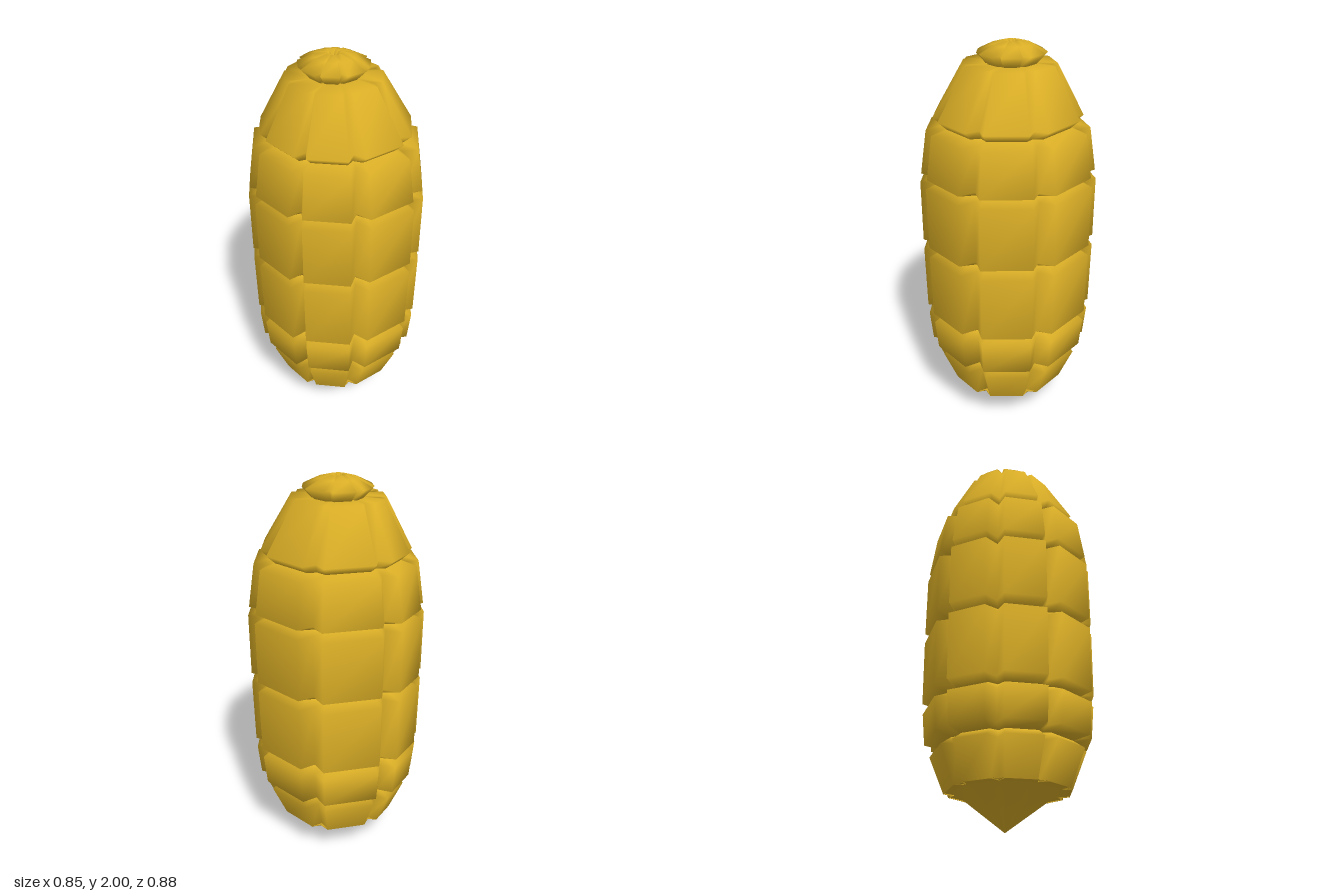
import * as THREE from 'three';

// Plan outline: per column a first corner, a second corner, then the notch before the next column.
const OUTLINE = [
  [-0.16, -0.41], [0.035, -0.44], [0.07, -0.37],
  [0.14, -0.41], [0.37, -0.24], [0.35, -0.16],
  [0.42, -0.13], [0.415, 0.15], [0.345, 0.18],
  [0.365, 0.25], [0.175, 0.41], [0.105, 0.365],
  [0.07, 0.44], [-0.175, 0.395], [-0.19, 0.32],
  [-0.26, 0.35], [-0.395, 0.17], [-0.355, 0.12],
  [-0.425, 0.105], [-0.41, -0.13], [-0.34, -0.15],
  [-0.38, -0.21], [-0.24, -0.365], [-0.17, -0.33],
];

// Lofts rings of [y, outer scale, notch scale, centre x, centre z], from bottom to top.
function loft(rings) {
  const n = OUTLINE.length;
  const positions = [];
  const index = [];
  for (const [y, outer, notch, cx = 0, cz = 0] of rings) {
    OUTLINE.forEach(([x, z], j) => {
      const s = j % 3 === 2 ? notch : outer;
      positions.push(cx + x * s, y, cz + z * s);
    });
  }
  for (let i = 0; i < rings.length - 1; i++) {
    for (let j = 0; j < n; j++) {
      const a = i * n + j, b = i * n + (j + 1) % n;
      const c = a + n, d = b + n;
      index.push(a, c, b, b, c, d);
    }
  }
  const geometry = new THREE.BufferGeometry();
  geometry.setAttribute('position', new THREE.Float32BufferAttribute(positions, 3));
  geometry.setIndex(index);
  geometry.computeVertexNormals();
  return geometry;
}

export function createModel() {
  const group = new THREE.Group();
  const yellow = new THREE.MeshStandardMaterial({ color: 0xdaae26, side: THREE.DoubleSide });
  yellow.name = 'golden yellow';

  const add = (name, rings) => {
    const mesh = new THREE.Mesh(loft(rings), yellow);
    mesh.name = name;
    group.add(mesh);
  };

  // Pointed base
  add('baseTip', [
    [0, 0, 0, 0.03, 0.01],
    [0.18, 0.56, 0.6, 0.01, 0],
    [0.185, 0.71, 0.74],
  ]);

  // Kernel rows: groove below, lower lip, upper lip, groove above
  const rows = [
    [[0.18, 0.7], [0.18, 0.71], [0.36, 0.88], [0.4, 0.75]],
    [[0.4, 0.75], [0.42, 0.945], [0.58, 0.98], [0.61, 0.82]],
    [[0.61, 0.82], [0.635, 0.99], [0.97, 1], [0.995, 0.83]],
    [[0.995, 0.83], [1.025, 1], [1.34, 1], [1.36, 0.83]],
    [[1.36, 0.83], [1.385, 0.985], [1.6, 0.91], [1.62, 0.73]],
    [[1.62, 0.73], [1.66, 0.83], [1.9, 0.52], [1.9, 0.26]],
  ];
  rows.forEach((row, i) => {
    add(`kernelRow${i + 1}`, row.map(([y, s], k) => {
      const groove = k === 0 || k === 3;
      return [y, s, groove ? s * 1.06 : s * 0.98, 0, y > 1.8 ? -0.012 : 0];
    }));
  });

  // Crown of small kernels meeting at a dimple
  add('crown', [
    [1.9, 0.28, 0.28, 0.01, -0.02],
    [1.95, 0.385, 0.34, 0.01, -0.02],
    [1.985, 0.22, 0.18, 0.01, -0.02],
    [2, 0.09, 0.06, 0.01, -0.02],
    [1.95, 0, 0, 0.01, -0.03],
  ]);

  return group;
}
